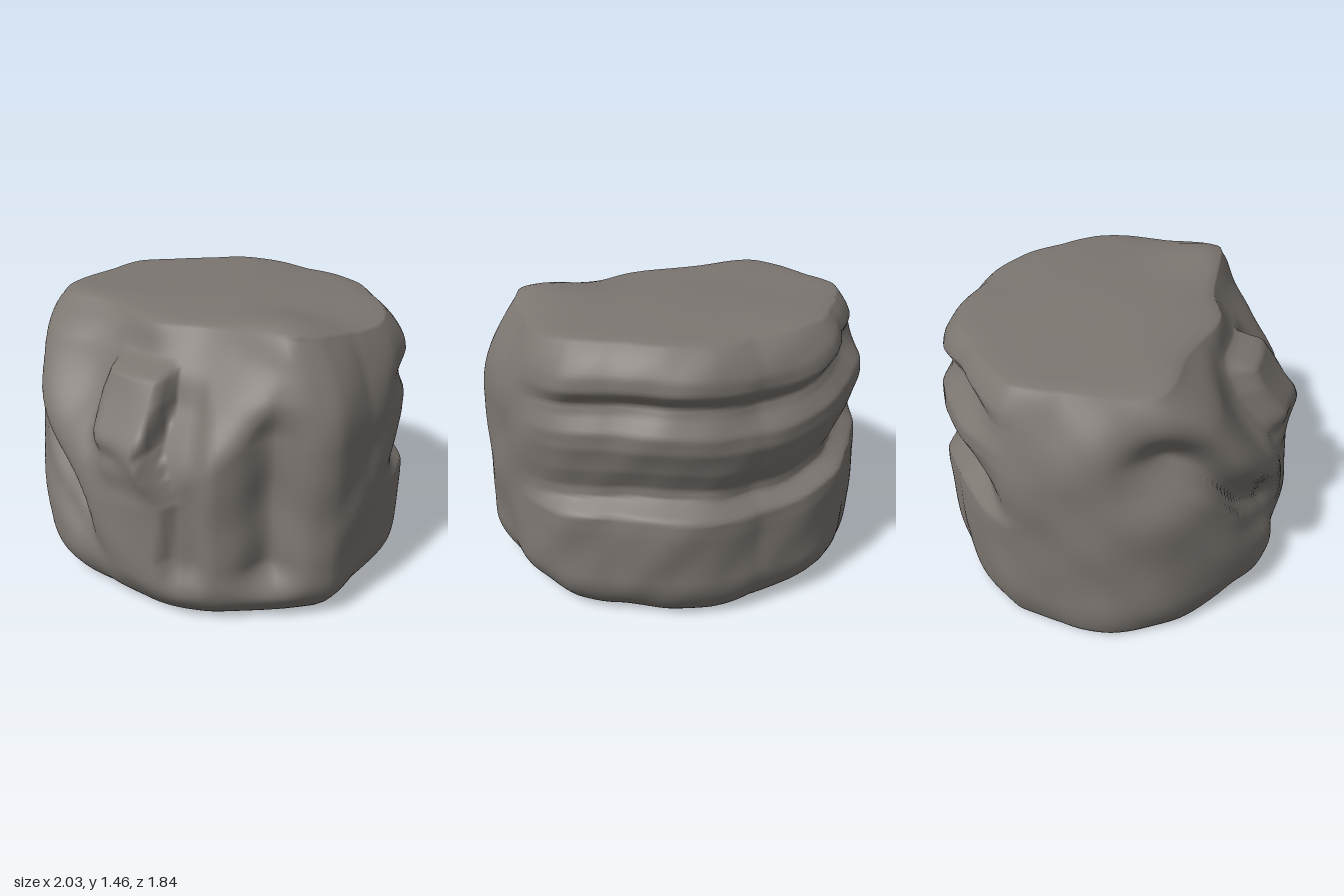
import * as THREE from 'three';

const DEG = Math.PI / 180;
const SEGMENTS = 180, SIDE_ROWS = 90, CAP_ROWS = 10;

// Plan outline: radius every 15 degrees, from +x towards +z
const OUTLINE = [0.99, 1.03, 0.98, 0.95, 0.94, 0.92, 0.91, 0.92, 0.93, 0.955, 0.98, 1.0,
  0.995, 1.02, 0.98, 0.955, 0.965, 0.945, 0.915, 0.945, 0.955, 0.95, 1.0, 1.005];

const bell = (d, w) => Math.exp(-(d * d) / (w * w));
const step = (a, b, v) => THREE.MathUtils.smoothstep(v, a, b);
const band = (a, b, soft, v) => step(a - soft, a + soft, v) * (1 - step(b - soft, b + soft, v));
const softMin = (a, b, k) => {
  const h = Math.max(k - Math.abs(a - b), 0) / k;
  return Math.min(a, b) - h * h * k * 0.25;
};
// Piecewise linear curve through [position, value] pairs
function curve(points, v) {
  if (v <= points[0][0]) return points[0][1];
  for (let i = 1; i < points.length; i++) {
    const [a, p] = points[i - 1], [b, q] = points[i];
    if (v <= b) return p + (q - p) * (v - a) / (b - a);
  }
  return points[points.length - 1][1];
}
// Gentle lumps over the whole rock
const lumps = (x, y, z) => 0.009 * (Math.sin(7 * x + 3 * y + 1) * Math.sin(6 * z - 4 * y)
  + Math.sin(11 * y + 5 * x) * Math.sin(9 * z + 2 * x + 2))
  + 0.004 * Math.sin(17 * x + 6 * y) * Math.sin(15 * z + 12 * y);

// Back ledges: wide lower block, deep seam, middle band, upper seam, top band
const LEDGES = [[0.5, 0], [0.58, -0.005], [0.645, -0.09], [0.7, -0.095], [0.8, -0.045],
  [0.92, -0.01], [1.0, -0.012], [1.08, -0.06], [1.13, -0.075], [1.2, -0.015], [1.27, 0]];
// Wandering right edge of the raised front block
const BLOCK_EDGE = [[0.2, 0.43], [0.35, 0.4], [0.65, 0.43], [0.8, 0.35], [0.9, 0.31], [1.1, 0.35], [1.25, 0.34]];

function radius(angle, y) {
  const turn = ((angle / DEG) % 360 + 360) % 360;
  const i = Math.floor(turn / 15) % 24, f = turn / 15 - Math.floor(turn / 15);
  let r = THREE.MathUtils.lerp(OUTLINE[i], OUTLINE[(i + 1) % 24], f);
  const c = Math.cos(angle), s = Math.sin(angle);
  const x = r * c, front = step(0.1, 0.4, s);

  // Rounded foot and shoulder
  const foot = 0.045 + 0.065 * step(-0.9, -0.2, c);
  r -= foot * Math.pow(Math.max(0, 1 - (y - 0.03) / 0.22), 2.2);
  const shoulder = THREE.MathUtils.clamp((y - 0.95) / 0.49, 0, 1);
  r -= 0.18 * Math.pow(shoulder, s < 0 ? 1.9 + 2.3 * -s : 1.9);

  // Sloping upper front face, fuller on the left
  if (s > 0.08) {
    const zMax = 0.9 - 0.68 * (y - 0.75) - 0.06 * step(0.1, 0.75, x) * step(0.7, 1.1, y)
      + 0.12 * (1 - step(-0.7, -0.25, x)) * (1 - step(1.22, 1.43, y))
      + 0.05 * bell(x + 0.02, 0.35) * step(1.25, 1.42, y);
    r = softMin(r, zMax / s, 0.12);
  }

  // Raised front block and the recessed column beside it
  const edge = curve(BLOCK_EDGE, y);
  const left = -0.12 + 0.4 * Math.max(0, 1.1 - y);
  const blockX = step(left - 0.1, left + 0.08, x) * (1 - step(edge - 0.02, edge + 0.03, x));
  r += front * blockX * 0.12 * step(0.65, 0.95, y) * (1 - step(1.2, 1.26, y));
  r -= front * band(edge, 0.57, 0.035, x) * 0.06 * band(0.25, 1.15, 0.1, y);
  r -= front * 0.03 * bell(x - 0.05, 0.14) * bell(y - 0.84, 0.06);

  // Upright cleft on the right of the front
  const cleft = turn < 31 ? bell(turn - 31, 6) : bell(turn - 31, 10);
  r -= cleft * (0.07 * band(0.24, 1.08, 0.1, y) + 0.05 * band(0.24, 1.38, 0.1, y));

  // Diagonal seam over the lower left slab, which narrows upwards
  const along = (x + 0.9) / 0.8;
  const d = (y - (1.1 - 0.7 * along + 0.04 * Math.sin(along * 8))) * 0.75;
  const reach = front * band(0.0, 1.0, 0.12, along);
  r -= reach * 0.1 * (d > 0 ? bell(d, 0.1) : bell(d, 0.05));
  r += reach * (0.03 * bell(d - 0.22, 0.1) + 0.025 * bell(d + 0.25, 0.17));
  r -= 0.075 * bell(turn - 149, 17) * bell(y - 1.02, 0.15);
  r -= front * 0.05 * bell(x + 0.25, 0.18) * bell(y - 0.42 + 0.5 * (x + 0.25), 0.07);

  // Ledges around the back, climbing towards the left
  const climb = 0.1 * (1 - step(215, 265, turn)) + 0.012 * Math.sin(angle * 5);
  r += step(0.15, 0.6, -s) * curve(LEDGES, y - climb) * (1.05 + 0.1 * Math.sin(angle * 4));
  return r + lumps(r * c, y, r * s);
}

// Uneven top with a peak towards the front left
const topHeight = (x, z) => 1.437 + 0.05 * bell(Math.hypot(x - 0.66, z - 0.25), 0.24)
  + 0.008 * Math.sin(5 * x + 1) * Math.sin(4 * z + 2) - 0.02 * step(0.72, 0.9, x);
const baseHeight = (x, z) => 0.03 - 0.02 * bell(Math.hypot(x - 0.2, z + 0.75), 0.3)
  + 0.006 * Math.sin(6 * x) * Math.sin(5 * z);

function rockGeometry() {
  const positions = [], index = [];
  const rows = SIDE_ROWS + 2 * CAP_ROWS;
  for (let row = 0; row <= rows; row++) {
    for (let k = 0; k < SEGMENTS; k++) {
      const angle = k / SEGMENTS * Math.PI * 2;
      const c = Math.cos(angle), s = Math.sin(angle);
      const low = radius(angle, 0.03), high = radius(angle, 1.435);
      const y0 = baseHeight(low * c, low * s), y1 = topHeight(high * c, high * s) - 0.02;
      let r, y;
      if (row < CAP_ROWS) {
        r = low * row / CAP_ROWS;
        y = baseHeight(r * c, r * s);
      } else if (row <= CAP_ROWS + SIDE_ROWS) {
        y = THREE.MathUtils.lerp(y0, y1, (row - CAP_ROWS) / SIDE_ROWS);
        r = radius(angle, y);
      } else {
        const t = (rows - row) / CAP_ROWS;
        r = radius(angle, y1) * t;
        y = topHeight(r * c, r * s) - 0.02 * Math.pow(t, 5);
      }
      positions.push(r * c, y, r * s);
      if (row < rows) {
        const a = row * SEGMENTS + k, b = row * SEGMENTS + (k + 1) % SEGMENTS;
        index.push(a, a + SEGMENTS, b, a + SEGMENTS, b + SEGMENTS, b);
      }
    }
  }
  const geometry = new THREE.BufferGeometry();
  geometry.setAttribute('position', new THREE.Float32BufferAttribute(positions, 3));
  geometry.setIndex(index);
  geometry.computeVertexNormals();
  return geometry;
}

export function createModel() {
  const stone = new THREE.MeshStandardMaterial({ color: 0x7c7671 });
  stone.name = 'stone grey';
  const rock = new THREE.Mesh(rockGeometry(), stone);
  rock.name = 'boulder';
  const group = new THREE.Group();
  group.name = 'rock';
  group.add(rock);
  return group;
}
